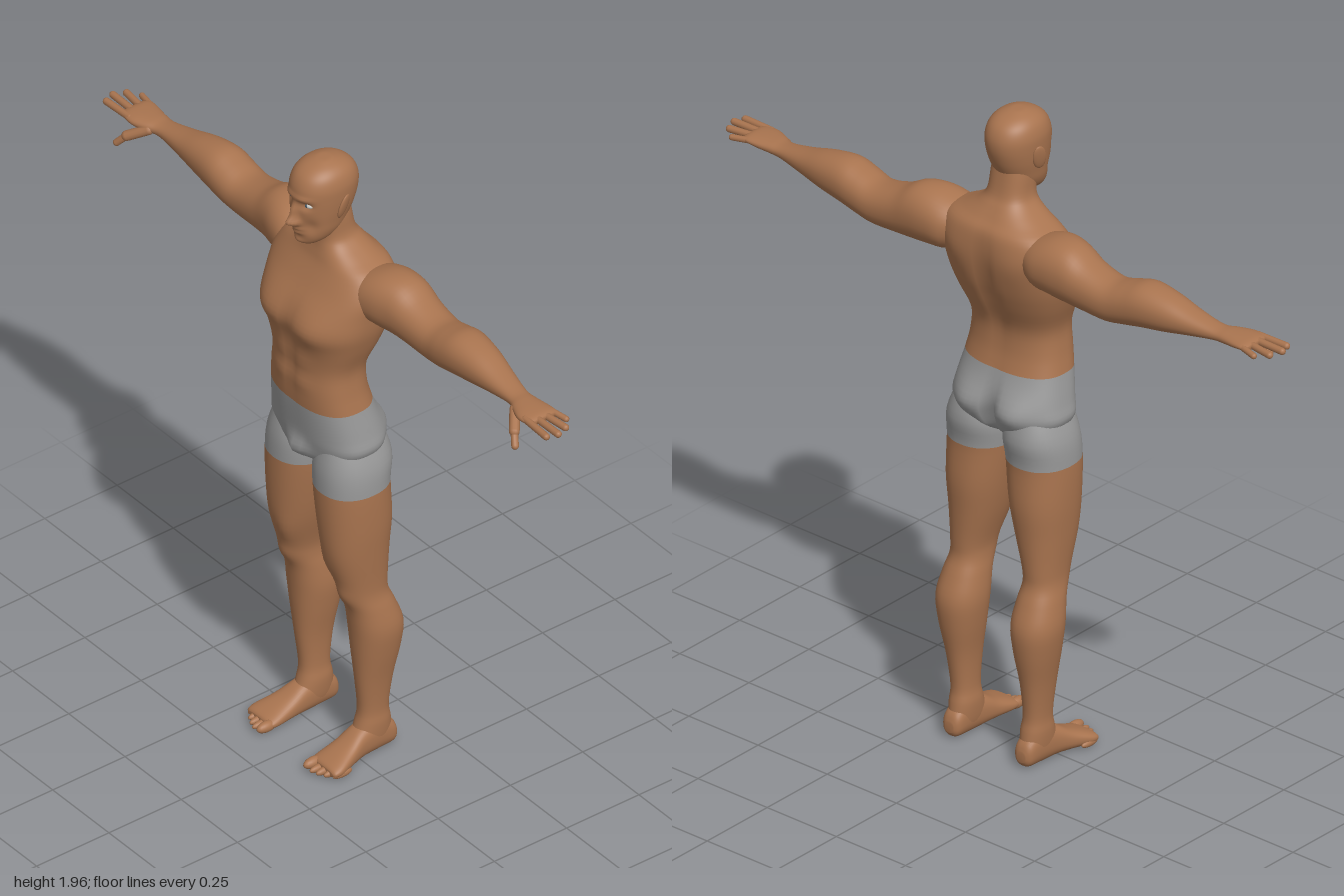
import * as THREE from 'three';

const flat = (name, color) => {
  const m = new THREE.MeshStandardMaterial({ color });
  m.name = name;
  return m;
};
const skin = flat('skin', 0xa9744f);
const cloth = flat('grey cloth', 0x979797);
const eyeWhite = flat('eye white', 0xc9c9c4);
const irisColour = flat('iris', 0x4a5a66);

// smooth interpolation through rows of numbers
function sampleRows(rows, steps) {
  const out = [];
  for (let i = 0; i < rows.length - 1; i++) {
    const [a, b, c, d] = [-1, 0, 1, 2].map(k => rows[Math.min(rows.length - 1, Math.max(0, i + k))]);
    for (let k = 0; k < steps; k++) {
      const u = k / steps;
      out.push(b.map((_, j) => 0.5 * (2 * b[j] + (c[j] - a[j]) * u
        + (2 * a[j] - 5 * b[j] + 4 * c[j] - d[j]) * u * u
        + (3 * b[j] - a[j] - 3 * c[j] + d[j]) * u * u * u)));
    }
  }
  out.push(rows[rows.length - 1]);
  return out;
}

// soft swellings and hollows, mirrored in x: [x,y,z, rx,ry,rz, dx,dy,dz]
function sculpt(p, bumps) {
  const [x, y, z] = p;
  for (const [bx, by, bz, rx, ry, rz, dx, dy, dz] of bumps) {
    for (const s of bx === 0 ? [1] : [1, -1]) {
      const w = Math.exp(-(((x - s * bx) / rx) ** 2) - ((y - by) / ry) ** 2 - ((z - bz) / rz) ** 2);
      p[0] += s * dx * w; p[1] += dy * w; p[2] += dz * w;
    }
  }
  return p;
}

// closed skin over sections [t, aMin, aMax, bMin, bMax]; place(t, a, b) gives x, y, z
function loft(name, rows, place, { sides = 40, steps = 4, power = 2.2, bumps = [], isCloth = () => false } = {}) {
  const rings = sampleRows(rows, steps), pos = [], parts = [[], []];
  const se = v => Math.sign(v) * Math.abs(v) ** (2 / power);
  for (const [t, a0, a1, b0, b1] of rings) {
    for (let i = 0; i < sides; i++) {
      const q = (i / sides) * Math.PI * 2;
      pos.push(...sculpt(place(t, (a0 + a1) / 2 + (a1 - a0) / 2 * se(Math.cos(q)),
        (b0 + b1) / 2 + (b1 - b0) / 2 * se(Math.sin(q))), bumps));
    }
  }
  const n = rings.length, first = n * sides;
  for (const [t, a0, a1, b0, b1] of [rings[0], rings[n - 1]])
    pos.push(...sculpt(place(t, (a0 + a1) / 2, (b0 + b1) / 2), bumps));
  for (let r = 0; r < n; r++) {
    const part = parts[isCloth((rings[r][0] + rings[Math.min(n - 1, r + 1)][0]) / 2) ? 1 : 0];
    for (let i = 0; i < sides; i++) {
      const j = (i + 1) % sides, a = r * sides + i, b = r * sides + j;
      if (r === 0) part.push(first, b, a);
      if (r === n - 1) part.push(first + 1, a, b);
      else part.push(a, b, a + sides, b, b + sides, a + sides);
    }
  }
  const index = [...parts[0], ...parts[1]];
  // turn all faces outward
  let volume = 0;
  const at = k => new THREE.Vector3(pos[3 * k], pos[3 * k + 1], pos[3 * k + 2]);
  for (let k = 0; k < index.length; k += 3)
    volume += at(index[k]).dot(at(index[k + 1]).cross(at(index[k + 2])));
  if (volume < 0)
    for (let k = 0; k < index.length; k += 3) [index[k], index[k + 1]] = [index[k + 1], index[k]];
  const g = new THREE.BufferGeometry();
  g.setAttribute('position', new THREE.Float32BufferAttribute(pos, 3));
  g.setIndex(index);
  g.addGroup(0, parts[0].length, 0);
  g.addGroup(parts[0].length, parts[1].length, 1);
  g.computeVertexNormals();
  const mesh = new THREE.Mesh(g, [skin, cloth]);
  mesh.name = name;
  return mesh;
}

function ball(name, mat, [x, y, z], [rx, ry, rz]) {
  const m = new THREE.Mesh(new THREE.SphereGeometry(1, 20, 14), mat);
  m.name = name;
  m.position.set(x, y, z);
  m.scale.set(rx, ry, rz);
  return m;
}

function digit(name, from, to, r) {
  const a = new THREE.Vector3(...from), b = new THREE.Vector3(...to), d = b.clone().sub(a);
  const m = new THREE.Mesh(new THREE.CapsuleGeometry(r, d.length(), 5, 12), skin);
  m.name = name;
  m.position.copy(a).add(b).multiplyScalar(0.5);
  m.quaternion.setFromUnitVectors(new THREE.Vector3(0, 1, 0), d.normalize());
  return m;
}

export function createModel() {
  const model = new THREE.Group();
  model.name = 'standing man';
  const upright = (y, x, z) => [x, y, z];
  const even = ([y, w, back, front]) => [y, -w, w, back, front];

  // trunk from crotch to neck, shorts below the waist line
  model.add(loft('torso', [
    [0.972, 0.05, -0.05, 0.05], [1.0, 0.14, -0.095, 0.088], [1.05, 0.186, -0.115, 0.1], [1.1, 0.18, -0.115, 0.108],
    [1.185, 0.163, -0.09, 0.118], [1.25, 0.152, -0.076, 0.122], [1.32, 0.15, -0.078, 0.12], [1.4, 0.178, -0.112, 0.128],
    [1.46, 0.196, -0.135, 0.138], [1.52, 0.204, -0.147, 0.12], [1.58, 0.21, -0.15, 0.085], [1.63, 0.185, -0.143, 0.058],
    [1.66, 0.13, -0.12, 0.048], [1.69, 0.083, -0.098, 0.042], [1.72, 0.064, -0.08, 0.042], [1.78, 0.06, -0.068, 0.05],
    [1.84, 0.05, -0.06, 0.04]].map(even), upright, {
    sides: 64, power: 2.5, isCloth: y => y < 1.185,
    bumps: [
      [0.09, 1.47, 0.13, 0.07, 0.06, 0.08, 0, 0, 0.016], // chest
      [0, 1.46, 0.15, 0.02, 0.08, 0.06, 0, 0, -0.008],
      [0, 1.3, 0.13, 0.012, 0.09, 0.05, 0, 0, -0.005], // belly line
      [0.045, 1.34, 0.13, 0.035, 0.025, 0.05, 0, 0, 0.005],
      [0.045, 1.27, 0.13, 0.035, 0.025, 0.05, 0, 0, 0.005],
      [0, 1.42, -0.14, 0.025, 0.16, 0.07, 0, 0, 0.02], // spine
      [0.11, 1.55, -0.14, 0.06, 0.06, 0.06, 0, 0, -0.008],
      [0.085, 1.07, -0.12, 0.06, 0.055, 0.07, 0, 0, -0.024], // buttocks
      [0, 1.05, -0.13, 0.018, 0.07, 0.07, 0, 0, 0.035],
      [0, 1.02, 0.1, 0.035, 0.035, 0.05, 0, 0, 0.026]],
  }));

  // head with sculpted face
  model.add(loft('head', [
    [1.702, 0.02, 0.04, 0.078], [1.712, 0.036, 0.015, 0.09], [1.73, 0.052, -0.02, 0.097], [1.755, 0.063, -0.048, 0.102],
    [1.785, 0.069, -0.066, 0.105], [1.82, 0.075, -0.082, 0.107], [1.86, 0.079, -0.093, 0.109], [1.895, 0.079, -0.093, 0.106],
    [1.925, 0.07, -0.08, 0.092], [1.945, 0.052, -0.055, 0.067], [1.957, 0.025, -0.02, 0.033], [1.959, 0.006, 0, 0.012],
  ].map(even), upright, {
    sides: 96, steps: 6, power: 2.15,
    bumps: [
      [0, 1.79, 0.108, 0.013, 0.016, 0.03, 0, -0.002, 0.03], // nose
      [0, 1.82, 0.108, 0.011, 0.024, 0.03, 0, 0, 0.016],
      [0.013, 1.785, 0.108, 0.008, 0.009, 0.03, 0.002, 0, 0.009],
      [0.034, 1.847, 0.1, 0.018, 0.012, 0.03, 0, 0, -0.012], // eye sockets
      [0.03, 1.868, 0.105, 0.028, 0.008, 0.03, 0, 0, 0.006], // brow
      [0.045, 1.775, 0.09, 0.018, 0.025, 0.03, -0.003, 0, -0.007], // cheeks
      [0, 1.763, 0.105, 0.022, 0.006, 0.03, 0, 0, 0.008], // lips
      [0, 1.749, 0.105, 0.02, 0.006, 0.03, 0, 0, 0.008],
      [0, 1.716, 0.095, 0.022, 0.012, 0.03, 0, 0, 0.008]], // chin
  }));

  for (const s of [1, -1]) {
    const side = new THREE.Group();
    side.name = s > 0 ? 'leftSide' : 'rightSide';
    model.add(side);

    // eyes and ears
    side.add(ball('eye', eyeWhite, [s * 0.034, 1.847, 0.081], [0.016, 0.009, 0.014]));
    side.add(ball('iris', irisColour, [s * 0.033, 1.847, 0.0915], [0.006, 0.006, 0.005]));
    const ear = ball('ear', skin, [s * 0.082, 1.835, 0.002], [0.007, 0.04, 0.021]);
    ear.rotation.set(-0.2, s * 0.35, s * -0.15);
    side.add(ear);

    // shoulder, arm and palm
    side.add(loft('arm', [
      [0.1, 1.54, 1.62, -0.11, 0], [0.16, 1.5, 1.648, -0.145, 0.03], [0.22, 1.493, 1.664, -0.152, 0.026],
      [0.28, 1.49, 1.66, -0.15, 0.01], [0.34, 1.488, 1.63, -0.145, 0], [0.42, 1.486, 1.611, -0.142, -0.005],
      [0.48, 1.495, 1.624, -0.14, 0], [0.54, 1.507, 1.639, -0.137, 0], [0.62, 1.52, 1.628, -0.126, -0.008],
      [0.7, 1.535, 1.605, -0.108, -0.018], [0.78, 1.547, 1.588, -0.09, -0.024], [0.82, 1.549, 1.588, -0.09, -0.008],
      [0.86, 1.553, 1.588, -0.095, 0.006], [0.895, 1.56, 1.586, -0.097, 0.004], [0.912, 1.566, 1.58, -0.09, -0.004],
    ], (t, y, z) => [s * t, y, z]));

    // fingers, from little finger to forefinger, then thumb
    const tips = [[0.943, 1.568, -0.098], [0.976, 1.571, -0.07], [0.99, 1.573, -0.034], [0.978, 1.572, -0.002]];
    tips.forEach(([x, y, z], i) => side.add(digit('finger',
      [s * 0.88, 1.573, -0.084 + i * 0.026], [s * x, y, z], i ? 0.0105 : 0.009)));
    side.add(digit('thumbBase', [s * 0.815, 1.562, -0.02], [s * 0.862, 1.532, 0.018], 0.015));
    side.add(digit('thumbTip', [s * 0.862, 1.532, 0.018], [s * 0.886, 1.503, 0.034], 0.0105));

    // leg with the shorts leg at the top
    side.add(loft('leg', [
      [1.08, 0.035, 0.165, -0.105, 0.08], [1.0, 0.006, 0.197, -0.124, 0.097], [0.92, 0.007, 0.205, -0.113, 0.1],
      [0.8, 0.024, 0.203, -0.117, 0.096], [0.7, 0.045, 0.195, -0.108, 0.085], [0.6, 0.073, 0.186, -0.1, 0.055],
      [0.55, 0.077, 0.186, -0.1, 0.04], [0.5, 0.071, 0.196, -0.12, 0.022], [0.43, 0.066, 0.205, -0.144, 0.012],
      [0.35, 0.075, 0.195, -0.139, 0.005], [0.25, 0.091, 0.176, -0.12, -0.004], [0.15, 0.096, 0.165, -0.108, -0.014],
      [0.1, 0.09, 0.168, -0.115, -0.006], [0.05, 0.093, 0.165, -0.12, 0.01], [0.02, 0.1, 0.158, -0.11, 0],
    ], (y, x, z) => [s * x, y, z], {
      isCloth: y => y > 0.92,
      bumps: [[0.13, 0.56, 0.045, 0.03, 0.035, 0.04, 0, 0, 0.008], [0.085, 0.66, 0.06, 0.03, 0.05, 0.05, 0, 0, 0.008]],
    }));

    // foot and toes
    side.add(loft('foot', [
      [-0.132, 0.115, 0.145, 0.02, 0.05], [-0.118, 0.1, 0.16, 0.004, 0.08], [-0.07, 0.095, 0.165, 0, 0.11],
      [-0.01, 0.092, 0.17, 0, 0.094], [0.04, 0.09, 0.183, 0, 0.066], [0.09, 0.087, 0.198, 0, 0.045],
      [0.115, 0.09, 0.197, 0.004, 0.034], [0.122, 0.1, 0.188, 0.01, 0.026],
    ], (z, x, y) => [s * x, y, z], { power: 2.4 }));
    for (let i = 0; i < 5; i++) {
      const r = i ? 0.0105 : 0.0155;
      side.add(ball(i ? 'toe' : 'bigToe', skin,
        [s * (0.104 + i * 0.02 + (i ? 0.004 : 0)), r + 0.002, 0.124 - i * i * 0.0022], [r, r + 0.001, 0.033]));
    }
  }
  return model;
}
